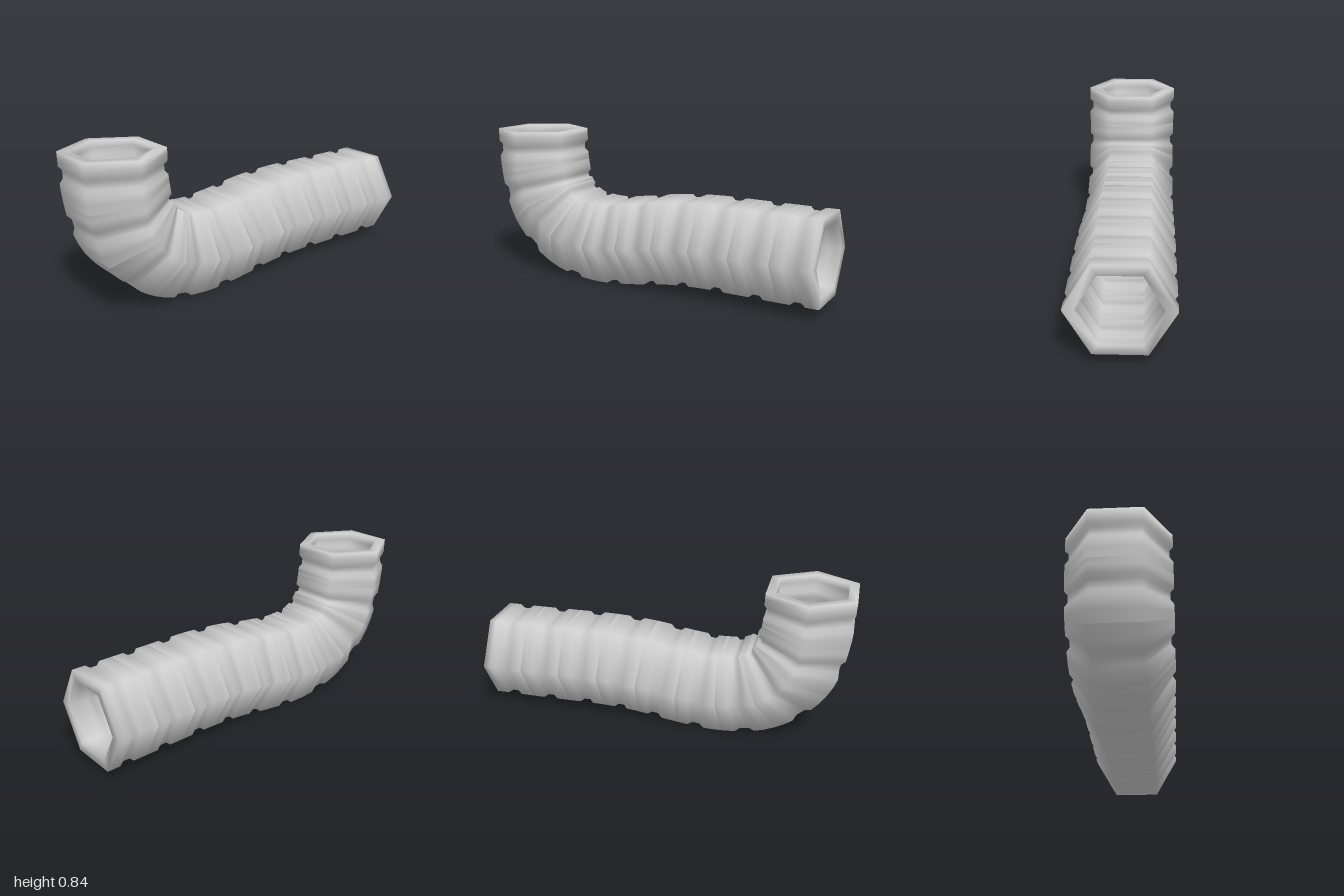
import * as THREE from 'three';

// Hexagonal corrugated duct swept along a bent centre line
const SIDES = 6, OUTER = 0.263, INNER = 0.206;

// Centre-line points, one per joint between the segments
const joints = [
  [-0.772, 0.84], [-0.76, 0.62], [-0.70, 0.415], [-0.535, 0.27], [-0.325, 0.229], [-0.107, 0.246],
  [0.115, 0.28], [0.335, 0.295], [0.557, 0.294], [0.778, 0.292], [1, 0.292],
];
const path = new THREE.CatmullRomCurve3(joints.map(([x, y]) => new THREE.Vector3(x, y, 0)));
const SEGMENTS = joints.length - 1;

// One corrugation: [position along the segment, radius factor]
const profile = [[0, 1], [0.16, 1], [0.32, 1], [0.41, 0.93], [0.57, 0.93], [0.68, 1], [0.84, 1], [1, 1]];

// Hexagon across the path at u, with two corners pointing along z
function hexRing(u, radius) {
  const p = path.getPoint(u);
  const t = path.getTangent(u);
  if (u === 0) t.set(0, -1, 0);
  if (u === 1) t.set(1, 0, 0);
  const ring = [];
  for (let k = 0; k < SIDES; k++) {
    const a = (k / SIDES) * Math.PI * 2;
    const s = Math.sin(a) * radius;
    ring.push(p.x - t.y * s, p.y + t.x * s, Math.cos(a) * radius);
  }
  return ring;
}

// Skin a list of rings with shared vertices, for smooth shading
function skin(rings) {
  const index = [];
  for (let i = 0; i < rings.length - 1; i++) {
    for (let k = 0; k < SIDES; k++) {
      const n = (k + 1) % SIDES;
      const a = i * SIDES + k, b = i * SIDES + n, c = a + SIDES, d = b + SIDES;
      index.push(a, c, b, b, c, d);
    }
  }
  const geometry = new THREE.BufferGeometry();
  geometry.setAttribute('position', new THREE.Float32BufferAttribute(rings.flat(), 3));
  geometry.setIndex(index);
  geometry.computeVertexNormals();
  return geometry;
}

export function createModel() {
  const model = new THREE.Group();
  model.name = 'corrugatedDuct';
  const material = new THREE.MeshStandardMaterial({ color: 0xcccccc });

  for (let i = 0; i < SEGMENTS; i++) {
    const segment = new THREE.Group();
    segment.name = `segment${i + 1}`;
    const wall = (radius) => profile.map(([t, f]) => hexRing((i + t) / SEGMENTS, radius * f));
    const outer = wall(OUTER);
    const inner = wall(INNER).reverse();

    // The end segments join both walls with a rim
    let parts = [['outerWall', outer], ['innerWall', inner]];
    if (i === 0) parts = [['wallWithRim', [...inner, ...outer]]];
    if (i === SEGMENTS - 1) parts = [['wallWithRim', [...outer, ...inner]]];

    for (const [name, rings] of parts) {
      const mesh = new THREE.Mesh(skin(rings), material);
      mesh.name = name;
      segment.add(mesh);
    }
    model.add(segment);
  }
  return model;
}
